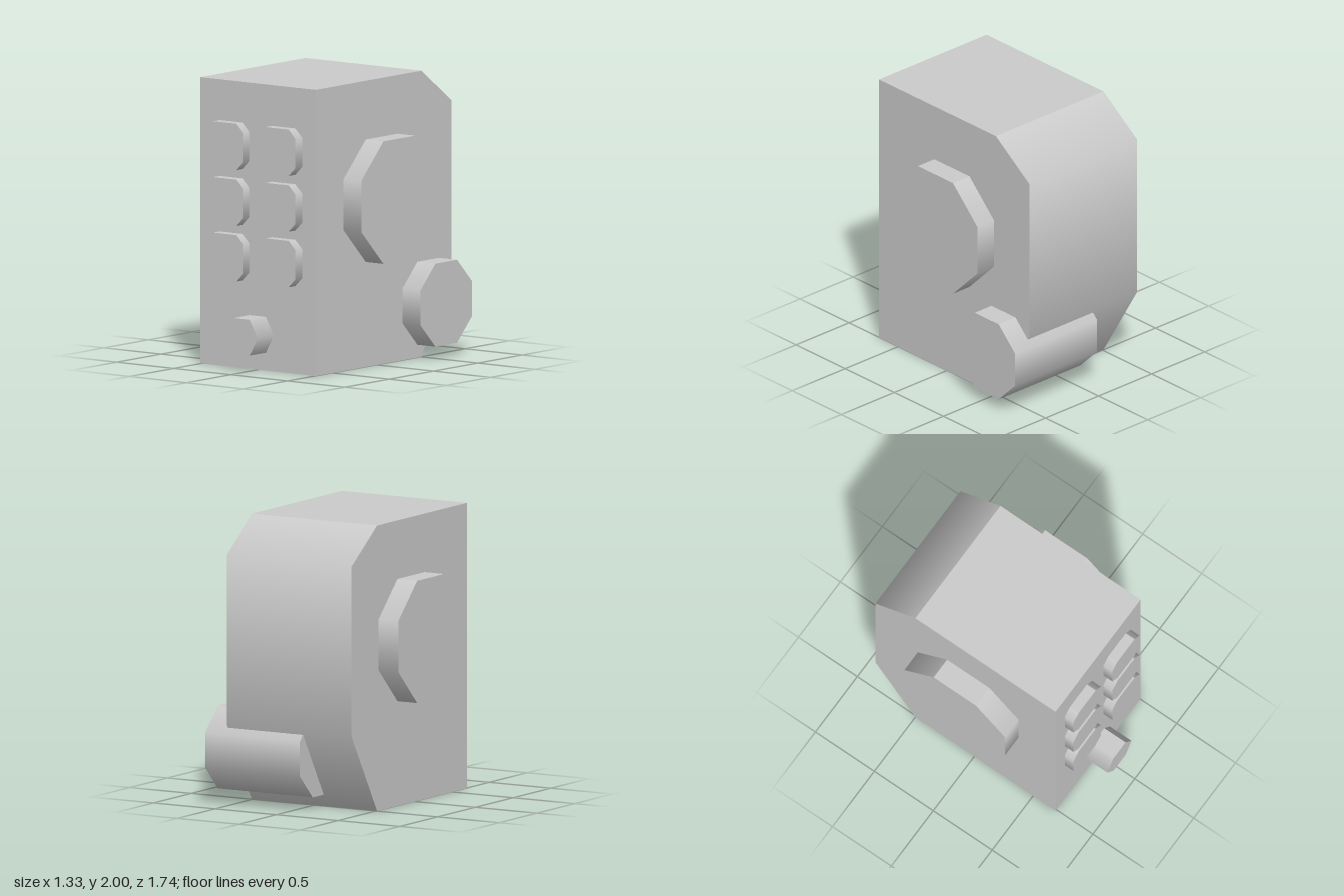
import * as THREE from 'three';

// Straight prism from a [x, y] outline, running from z0 to z1.
// Level top and bottom walls stay flat; the other walls blend into each other.
function prism(outline, z0, z1) {
  const shape = new THREE.Shape(outline.map(([x, y]) => new THREE.Vector2(x, y)));
  const geo = new THREE.ExtrudeGeometry(shape, { depth: z1 - z0, bevelEnabled: false });
  geo.translate(0, 0, z0);
  const pos = geo.attributes.position, nor = geo.attributes.normal;
  const sums = new Map();
  const blended = (i) => Math.abs(nor.getZ(i)) < 0.5 && Math.abs(nor.getY(i)) < 0.99;
  const key = (i) => `${pos.getX(i).toFixed(3)},${pos.getY(i).toFixed(3)}`;
  const walls = [];
  for (let i = 0; i < pos.count; i++) {
    if (!blended(i)) continue;
    walls.push(i);
    const sum = sums.get(key(i)) ?? new THREE.Vector3();
    sums.set(key(i), sum.add(new THREE.Vector3().fromBufferAttribute(nor, i)));
  }
  for (const i of walls) {
    const n = sums.get(key(i)).clone().normalize();
    nor.setXYZ(i, n.x, n.y, n.z);
  }
  return geo;
}

// Square with cut corners
function cutSquare(cx, cy, half, cut) {
  const f = half - cut;
  return [[f, -half], [half, -f], [half, f], [f, half], [-f, half], [-half, f], [-half, -f], [-f, -half]]
    .map(([x, y]) => [cx + x, cy + y]);
}

export function createModel() {
  const group = new THREE.Group();
  const material = new THREE.MeshStandardMaterial({ color: 0xcccccc });

  const add = (name, outline, from, to, sideways = false) => {
    const geo = prism(outline, from, to);
    if (sideways) geo.rotateY(Math.PI / 2); // outline x becomes -z, depth becomes x
    const mesh = new THREE.Mesh(geo, material);
    mesh.name = name;
    group.add(mesh);
  };

  // Housing with sloped back edges
  add('housing', [[-0.69, 0], [0.5, 0], [0.84, 0.57], [0.84, 1.755], [0.5, 2], [-0.69, 2]], -0.51, 0.505, true);

  // Large octagonal dial on each side
  const dial = cutSquare(0.052, 1.162, 0.428, 0.249);
  add('leftDial', dial, 0.48, 0.66, true);
  add('rightDial', dial, -0.67, -0.48, true);

  // Octagonal drum through the lower back corner
  add('rearDrum', cutSquare(0.577, 0.38, 0.29, 0.168), -0.11, 0.663, true);

  // Two columns of three front buttons
  for (const y of [0.775, 1.163, 1.553])
    for (const x of [-0.237, 0.225])
      add('button', cutSquare(x, y, 0.162, 0.06), 0.66, 0.765);

  // Hexagonal front knob
  add('knob', [[0.07, 0.125], [0.14, 0.25], [0.07, 0.375], [-0.075, 0.375], [-0.147, 0.25], [-0.075, 0.125]], 0.66, 0.872);

  return group;
}
